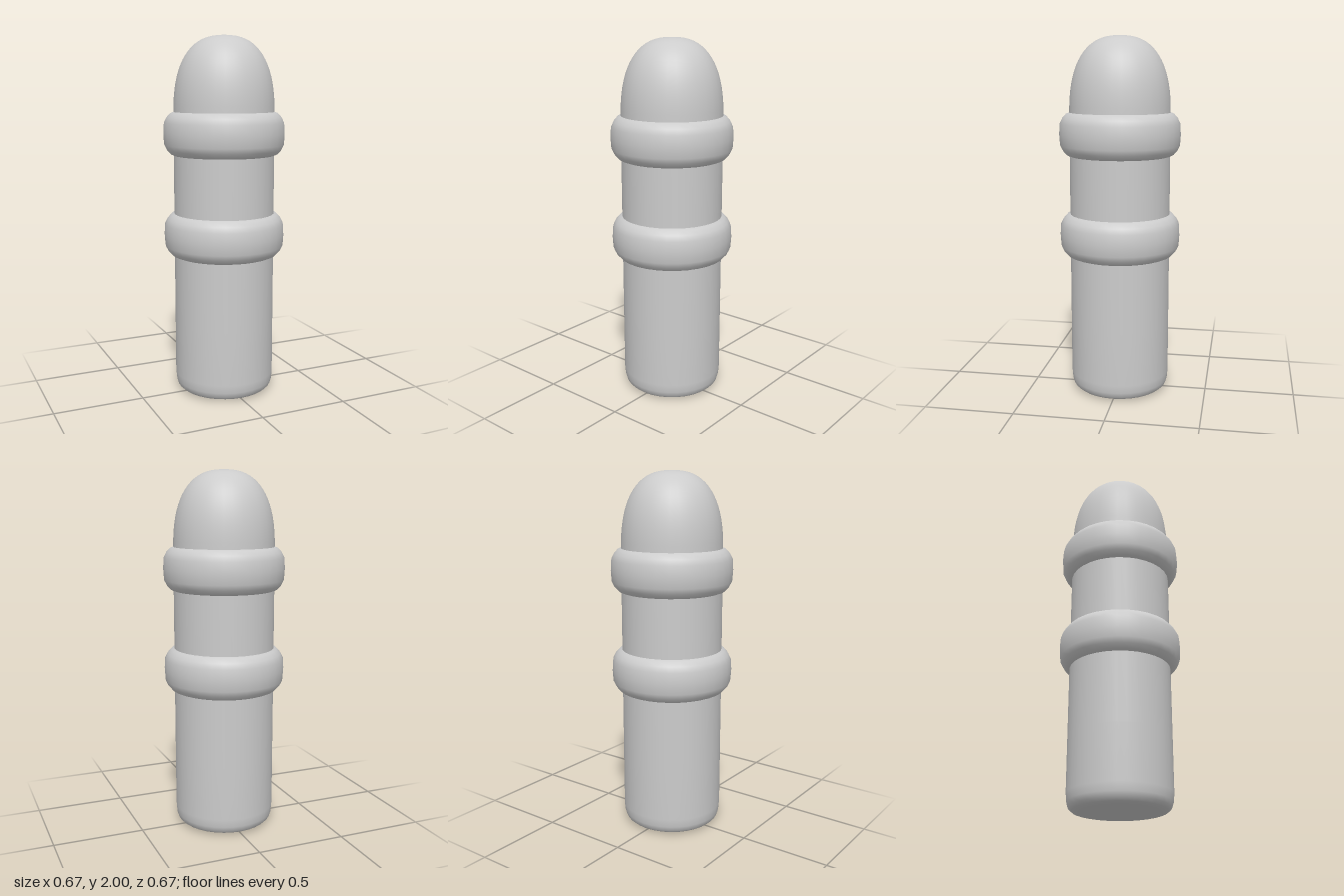
import * as THREE from 'three';

const SEGMENTS = 32;
const RADIUS = 0.28;
const material = new THREE.MeshStandardMaterial({ color: 0xcccccc });

// Smooth turned part from [radius, height] pairs, listed bottom to top
function turned(name, profile) {
  const points = profile.map(([r, y]) => new THREE.Vector2(r, y));
  const mesh = new THREE.Mesh(new THREE.LatheGeometry(points, SEGMENTS), material);
  mesh.name = name;
  return mesh;
}

export function createModel() {
  const group = new THREE.Group();
  group.name = 'ringedPeg';

  // Shaft with a softly rounded foot
  group.add(turned('shaft', [
    [0, 0], [0.12, 0.001], [0.22, 0.006], [0.25, 0.012], [0.267, 0.027],
    [0.276, 0.055], [RADIUS, 0.1], [RADIUS, 0.4], [RADIUS, 1.0], [RADIUS, 1.56],
  ]));

  // Full, blunt dome following a superellipse
  const dome = [];
  const steps = 18, power = 2.5, base = 1.56;
  for (let i = 0; i <= steps; i++) {
    const a = (i / steps) * Math.PI / 2;
    const r = i === steps ? 0 : RADIUS * Math.cos(a) ** (2 / power);
    dome.push([r, base + (2 - base) * Math.sin(a) ** (2 / power)]);
  }
  group.add(turned('domeCap', dome));

  // Two identical rounded collars
  const collar = [
    [0.277, -0.12], [0.298, -0.112], [0.318, -0.09], [0.333, -0.06], [0.337, 0],
    [0.333, 0.06], [0.318, 0.09], [0.298, 0.112], [0.277, 0.12],
  ];
  [['lowerCollar', 0.905], ['upperCollar', 1.468]].forEach(([name, y]) => {
    const ring = turned(name, collar);
    ring.position.y = y;
    group.add(ring);
  });

  return group;
}
